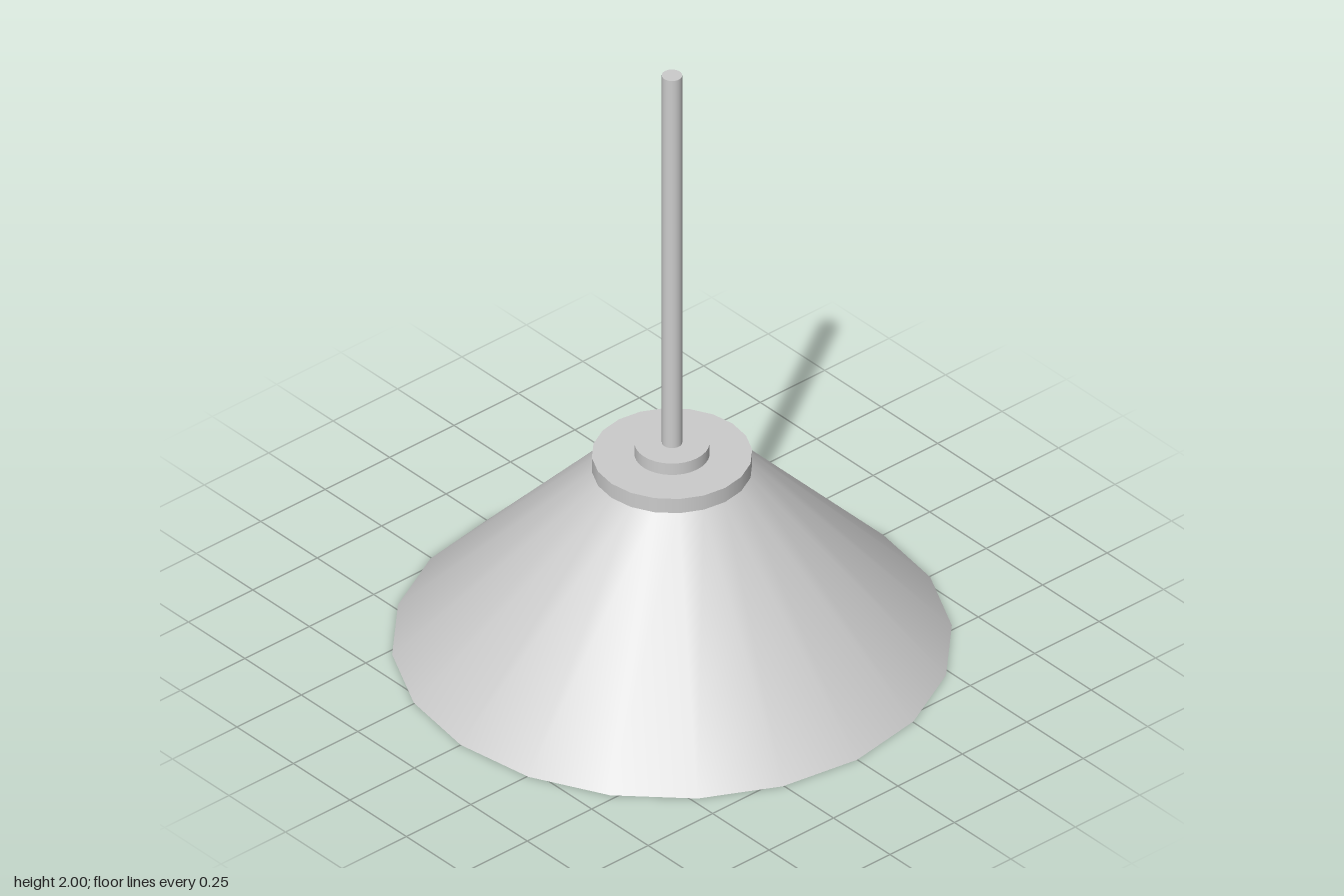
import * as THREE from 'three';

const SIDES = 20;

export function createModel() {
  const lamp = new THREE.Group();
  lamp.name = 'pendantLamp';
  const smooth = new THREE.MeshStandardMaterial({ color: 0xcccccc });
  const faceted = new THREE.MeshStandardMaterial({ color: 0xcccccc, flatShading: true });

  const add = (name, geometry, material = smooth) => {
    const mesh = new THREE.Mesh(geometry, material);
    mesh.name = name;
    lamp.add(mesh);
    return mesh;
  };

  // Upright round part between two heights
  const round = (name, rTop, rBottom, y0, y1, sides, open = false) => {
    const g = new THREE.CylinderGeometry(rTop, rBottom, y1 - y0, sides, 1, open);
    add(name, g.translate(0, (y0 + y1) / 2, 0));
  };

  // Shade: smooth outside, faceted lining with closed ceiling and flat rim
  round('shadeOutside', 0.235, 0.82, 0, 0.61, SIDES, true);
  const lining = [[0, 0.33], [0.41, 0.33], [0.73, 0], [0.82, 0]]
    .map(([r, y]) => new THREE.Vector2(r, y));
  add('shadeLining', new THREE.LatheGeometry(lining, SIDES), faceted);

  // Fittings above the shade
  round('shadeCap', 0.235, 0.235, 0.61, 0.66, SIDES);
  round('collar', 0.11, 0.11, 0.66, 0.7, 32);
  round('rod', 0.03, 0.03, 0.7, 2, 32);

  // Bulb, set partly into the ceiling of the lining
  add('bulb', new THREE.SphereGeometry(0.25, 32, 20).translate(0, 0.27, 0));

  return lamp;
}
